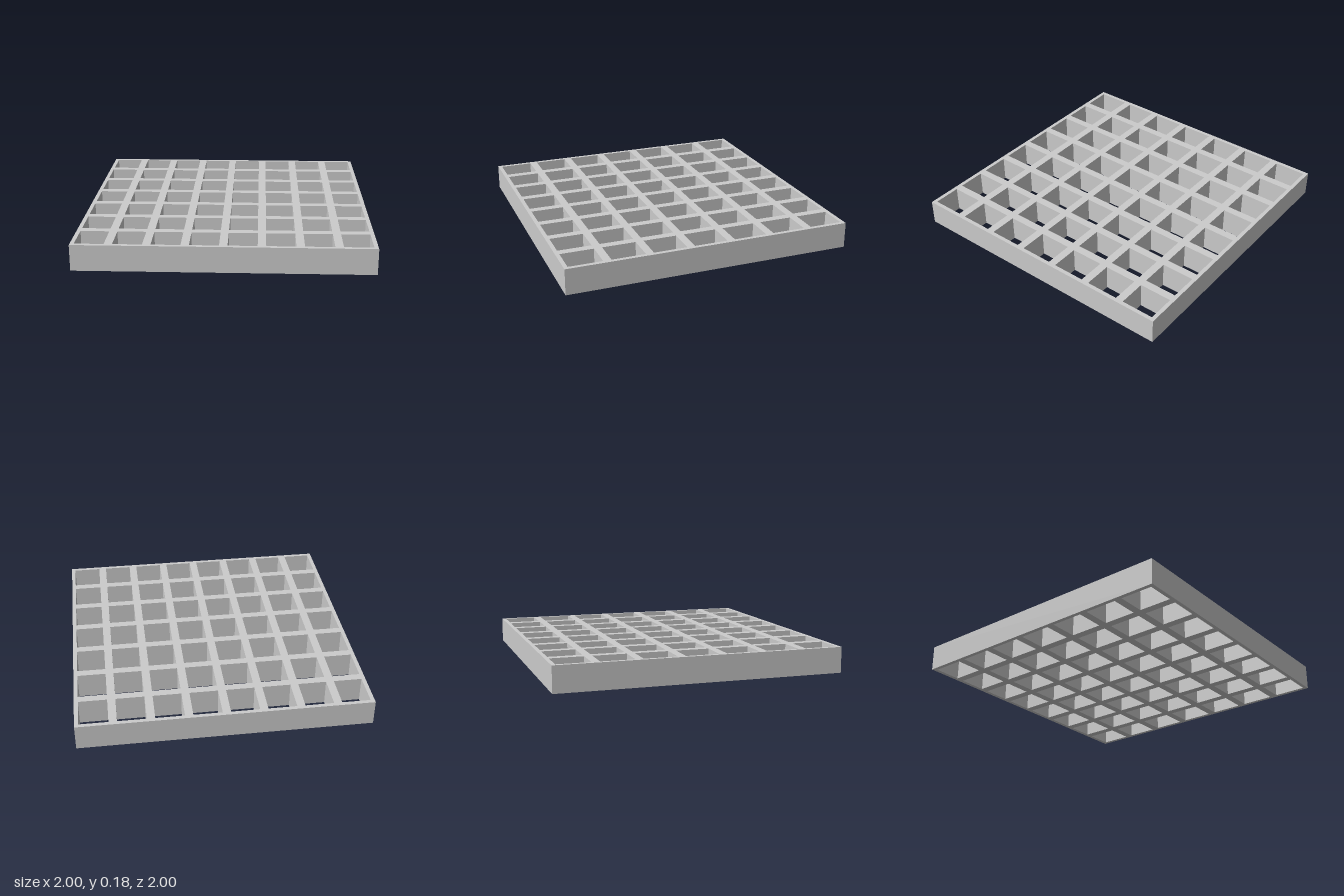
import * as THREE from 'three';

const SIZE = 2, HEIGHT = 0.18, BAR = 0.055;
const COLUMNS = 8, ROWS = 7;

// Closed rectangle outline centred on (x, y)
function rectangle(PathType, x, y, w, h) {
  return new PathType([
    new THREE.Vector2(x - w / 2, y - h / 2),
    new THREE.Vector2(x + w / 2, y - h / 2),
    new THREE.Vector2(x + w / 2, y + h / 2),
    new THREE.Vector2(x - w / 2, y + h / 2),
  ]);
}

export function createModel() {
  const group = new THREE.Group();
  group.name = 'gratingPanel';

  // Square slab pierced by a regular array of openings
  const slab = rectangle(THREE.Shape, 0, 0, SIZE, SIZE);
  const pitchX = SIZE / COLUMNS, pitchZ = SIZE / ROWS;
  for (let i = 0; i < COLUMNS; i++) {
    for (let j = 0; j < ROWS; j++) {
      const x = (i + 0.5) * pitchX - SIZE / 2;
      const z = (j + 0.5) * pitchZ - SIZE / 2;
      slab.holes.push(rectangle(THREE.Path, x, z, pitchX - BAR, pitchZ - BAR));
    }
  }

  // Extruded upwards from the ground
  const geometry = new THREE.ExtrudeGeometry(slab, { depth: HEIGHT, bevelEnabled: false });
  geometry.rotateX(-Math.PI / 2);
  const grating = new THREE.Mesh(
    geometry,
    new THREE.MeshStandardMaterial({ color: 0xcccccc, flatShading: true })
  );
  grating.name = 'grating';
  group.add(grating);
  return group;
}
